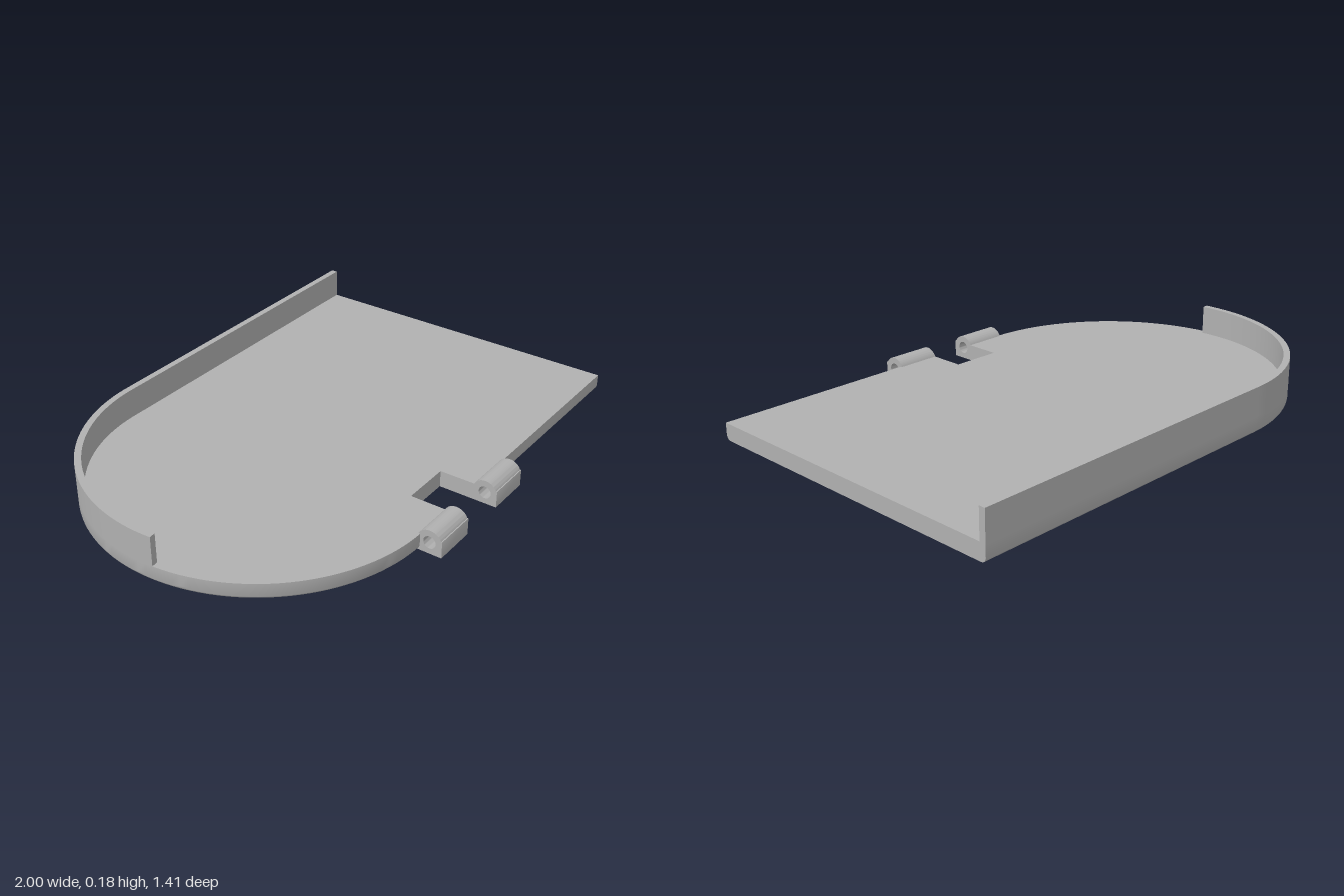
import * as THREE from 'three';
import { toCreasedNormals } from 'three/addons/utils/BufferGeometryUtils.js';

const R = 0.663, CX = -0.337, CV = 0.043; // rounded end: radius and centre (v = -z)
const THICK = 0.065, TOP = 0.18, RIM = 0.025, FILLET = 0.02;

// Plate outline, counterclockwise from above; the curved and long edges move in by inset
function outline(inset) {
  const r = R - inset, pts = [new THREE.Vector2(1, CV + r)];
  const steps = 64;
  for (let i = 0; i <= steps; i++) {
    const a = Math.PI / 2 + (i / steps) * Math.PI;
    pts.push(new THREE.Vector2(CX + r * Math.cos(a), CV + r * Math.sin(a)));
  }
  // Hinge notch, then the square corner
  for (const [x, v] of [[-0.175, CV - r], [-0.175, -0.475], [0.02, -0.475], [0.02, CV - r], [1, CV - r]]) {
    pts.push(new THREE.Vector2(x, v));
  }
  return pts;
}

// Plate lofted through stacked outlines, with a rounded lower edge
function plateGeometry() {
  const rings = [], fillSteps = 5;
  for (let i = 0; i <= fillSteps; i++) {
    const a = (i / fillSteps) * Math.PI / 2;
    rings.push({ y: FILLET * (1 - Math.cos(a)), pts: outline(FILLET * (1 - Math.sin(a))) });
  }
  rings.push({ y: THICK, pts: outline(0) });

  const n = rings[0].pts.length, pos = [], idx = [];
  for (const { y, pts } of rings) for (const p of pts) pos.push(p.x, y, -p.y);
  for (let k = 0; k < rings.length - 1; k++) {
    for (let i = 0; i < n; i++) {
      const j = (i + 1) % n, a = k * n + i, b = k * n + j;
      idx.push(a, b, b + n, a, b + n, a + n);
    }
  }
  const last = (rings.length - 1) * n;
  for (const [a, b, c] of THREE.ShapeUtils.triangulateShape(rings[0].pts, [])) idx.push(a, c, b);
  for (const [a, b, c] of THREE.ShapeUtils.triangulateShape(rings[rings.length - 1].pts, [])) {
    idx.push(last + a, last + b, last + c);
  }
  const g = new THREE.BufferGeometry();
  g.setAttribute('position', new THREE.Float32BufferAttribute(pos, 3));
  g.setIndex(idx);
  return toCreasedNormals(g, 0.6);
}

// Thin raised rim along the back edge and round the end
function rimGeometry() {
  const s = new THREE.Shape(), r = R - RIM, end = Math.PI + 0.095;
  s.moveTo(1, CV + R);
  s.lineTo(CX, CV + R);
  s.absarc(CX, CV, R, Math.PI / 2, end, false);
  s.absarc(CX, CV, r, end, Math.PI / 2, true);
  s.lineTo(1, CV + r);
  s.closePath();
  const g = new THREE.ExtrudeGeometry(s, { depth: TOP - THICK, bevelEnabled: false, curveSegments: 40 });
  g.rotateX(-Math.PI / 2).translate(0, THICK, 0);
  return toCreasedNormals(g, 0.6);
}

// Hinge knuckle: block with a domed top and a pin hole, extruded along x
function knuckleGeometry(x0, x1) {
  const cz = -0.657, cy = 0.045, r = 0.048, a = Math.asin((THICK - cy) / r);
  const s = new THREE.Shape();
  s.moveTo(-0.705, 0);
  s.lineTo(-0.6, 0);
  s.lineTo(-0.6, THICK);
  s.absarc(cz, cy, r, a, Math.PI - a, false);
  s.lineTo(-0.705, THICK);
  s.closePath();
  s.holes.push(new THREE.Path().absarc(cz, cy, 0.024, 0, Math.PI * 2, true));
  const g = new THREE.ExtrudeGeometry(s, { depth: x1 - x0, bevelEnabled: false, curveSegments: 20 });
  g.rotateY(Math.PI / 2).translate(x0, 0, 0);
  return toCreasedNormals(g, 0.6);
}

export function createModel() {
  const group = new THREE.Group();
  group.name = 'hingedCover';
  const grey = new THREE.MeshStandardMaterial({ color: 0xb0b0b0 });
  grey.name = 'grey';
  const add = (name, geometry) => {
    const mesh = new THREE.Mesh(geometry, grey);
    mesh.name = name;
    group.add(mesh);
  };
  add('plate', plateGeometry());
  add('rim', rimGeometry());
  add('rightHingeKnuckle', knuckleGeometry(-0.345, -0.175));
  add('leftHingeKnuckle', knuckleGeometry(0.02, 0.195));
  return group;
}
